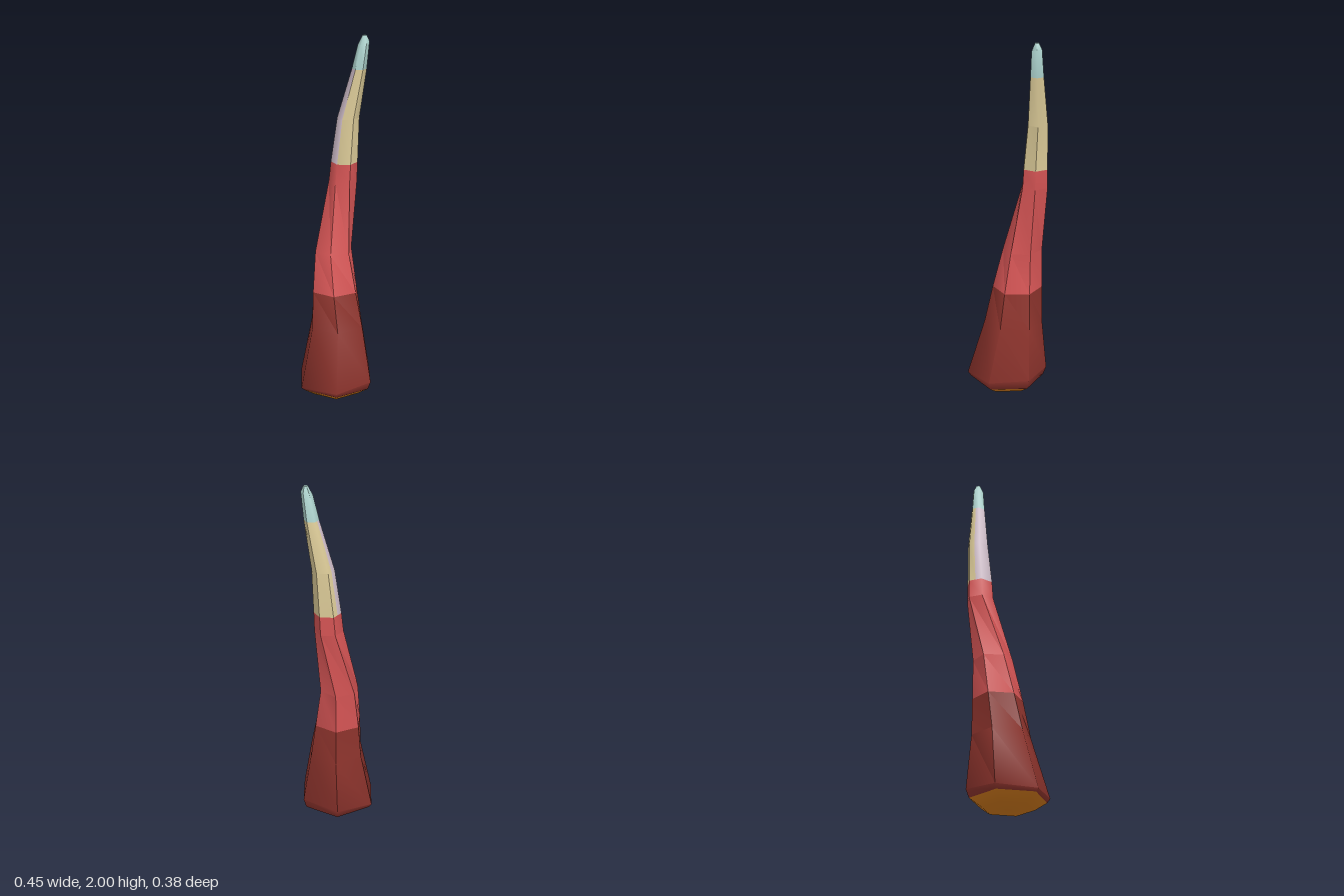
import * as THREE from 'three';
import { toCreasedNormals } from 'three/addons/utils/BufferGeometryUtils.js';

const SIDES = 6;

const paint = (name, color) => {
  const m = new THREE.MeshStandardMaterial({ color });
  m.name = name;
  return m;
};

// Cross-sections from the ground up: height, centre x, centre z, radius, twist in degrees, tilt
const RINGS = [
  [0.005, -0.01, 0, 0, 0, 0],
  [0.012, -0.01, 0, 0.14, 0, 0],
  [0.055, -0.01, 0, 0.205, 0, 0],
  [0.09, -0.01, 0, 0.222, 0, 0.09],
  [0.4, 0.015, -0.025, 0.16, 0, 0],
  [0.6, 0.017, -0.05, 0.136, 4, 0],
  [0.82, 0.025, -0.078, 0.107, 10, 0],
  [1.2, 0.103, -0.105, 0.077, 34, 0],
  [1.305, 0.11, -0.103, 0.073, 34, 0],
  [1.55, 0.133, -0.1, 0.06, 34, 0],
  [1.82, 0.178, -0.062, 0.04, 34, 0],
  [1.96, 0.195, -0.047, 0.031, 34, 0.3],
  [2.0, 0.2, -0.045, 0.012, 34, 0],
  [2.0, 0.2, -0.045, 0, 34, 0],
];

function corner([y, cx, cz, r, twist, tilt], i) {
  const a = THREE.MathUtils.degToRad(twist + ((i % SIDES) * 360) / SIDES);
  const dx = r * Math.cos(a);
  return new THREE.Vector3(cx + dx, y + tilt * dx, cz + r * Math.sin(a));
}

// Point on the straight-sided outline; fractions lie between two corners
function outline(ring, t) {
  const i = Math.floor(t);
  return corner(ring, i).lerp(corner(ring, i + 1), t - i).toArray();
}

// Colour zones: material, first ring, last ring, stops around the outline
const ROUND = [0, 1, 2, 3, 4, 5, 6];
const ZONES = [
  [paint('orange', 0xd67c1c), 0, 2, ROUND],
  [paint('darkRed', 0x8e342d), 2, 5, ROUND],
  [paint('coralRed', 0xd65555), 5, 8, ROUND],
  [paint('tan', 0xdccb98), 8, 10, [3.5, 4, 5, 6, 7, 8]],
  [paint('mauve', 0xd2c0cc), 8, 10, [2, 3, 3.5]],
  [paint('paleTeal', 0xaed4cf), 10, 13, ROUND],
];

export function createModel() {
  const geo = new THREE.BufferGeometry();
  const pos = [];

  // Skin each zone as one material group of a single smooth surface
  ZONES.forEach(([, from, to, stops], index) => {
    const start = pos.length / 3;
    for (let k = from; k < to; k++) {
      const lo = RINGS[k], hi = RINGS[k + 1];
      for (let s = 0; s < stops.length - 1; s++) {
        const a = outline(lo, stops[s]), b = outline(hi, stops[s]);
        const c = outline(hi, stops[s + 1]), d = outline(lo, stops[s + 1]);
        if (hi[3] > 0) pos.push(...a, ...b, ...c);
        if (lo[3] > 0) pos.push(...a, ...c, ...d);
      }
    }
    geo.addGroup(start, pos.length / 3 - start, index);
  });
  geo.setAttribute('position', new THREE.Float32BufferAttribute(pos, 3));

  const horn = new THREE.Mesh(
    toCreasedNormals(geo, THREE.MathUtils.degToRad(60)),
    ZONES.map(([material]) => material),
  );
  horn.name = 'horn';

  const model = new THREE.Group();
  model.name = 'curvedHorn';
  model.add(horn);
  return model;
}
